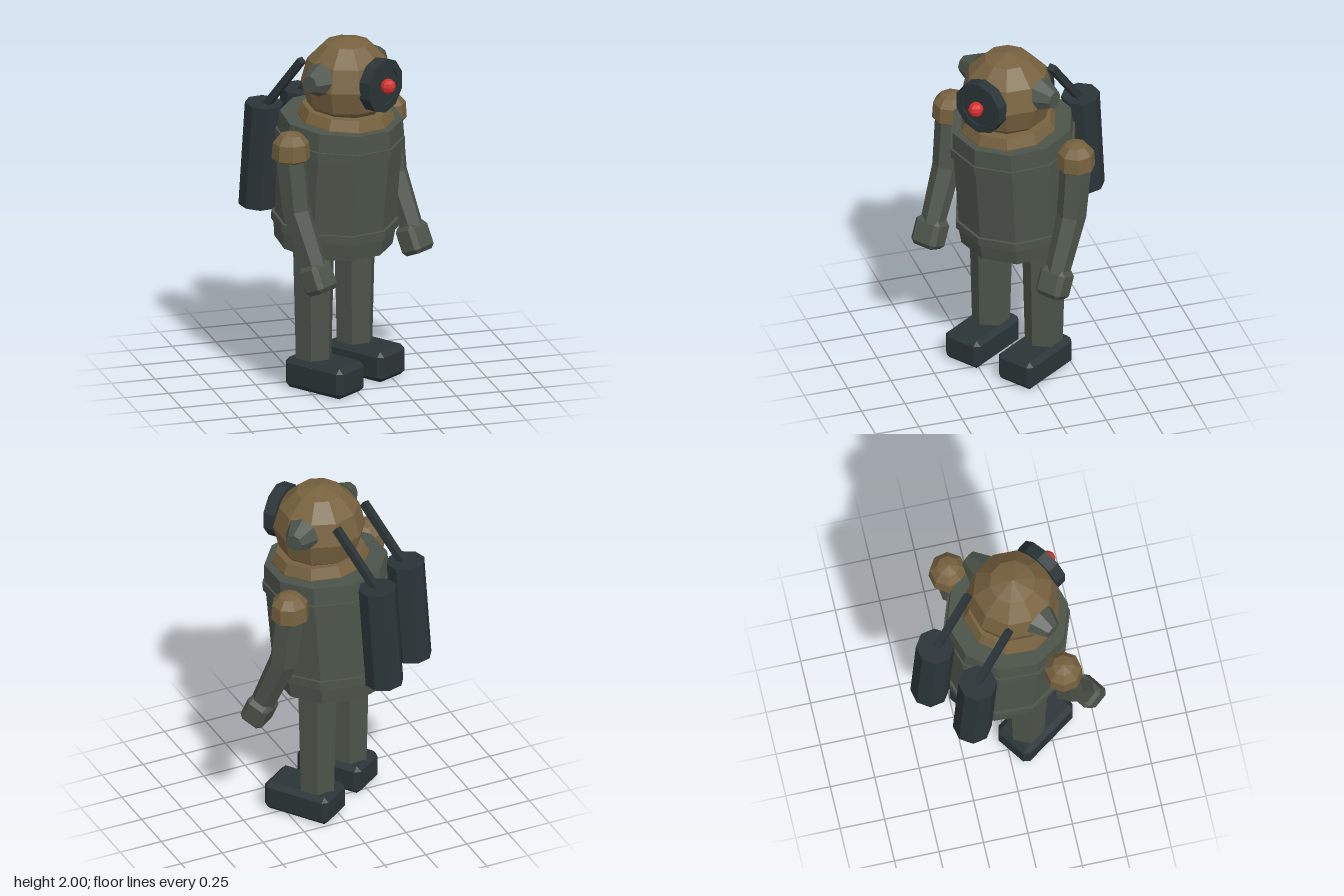
import * as THREE from 'three';
import { ConvexGeometry } from 'three/addons/geometries/ConvexGeometry.js';

const material = (name, color) => {
  const m = new THREE.MeshStandardMaterial({ color, flatShading: true });
  m.name = name;
  return m;
};

// Box with every edge cut by b
function chamferBox(w, h, d, b) {
  const pts = [];
  for (const x of [-1, 1]) for (const y of [-1, 1]) for (const z of [-1, 1]) {
    const [hx, hy, hz] = [w / 2, h / 2, d / 2];
    pts.push(
      new THREE.Vector3(x * hx, y * (hy - b), z * (hz - b)),
      new THREE.Vector3(x * (hx - b), y * hy, z * (hz - b)),
      new THREE.Vector3(x * (hx - b), y * (hy - b), z * hz));
  }
  return new ConvexGeometry(pts);
}

// Turned solid from [radius, height] pairs, bottom to top
const lathe = (pairs, sides) =>
  new THREE.LatheGeometry(pairs.map(([r, y]) => new THREE.Vector2(r, y)), sides);

export function createModel() {
  const bronze = material('bronze', 0x77623f);
  const cloth = material('greyGreen', 0x4c544a);
  const dark = material('darkSteel', 0x2a3437);
  const red = material('redLens', 0xd6302b);

  const root = new THREE.Group();
  root.name = 'diver';
  const body = new THREE.Group();
  body.name = 'turnedBody';
  body.rotation.y = THREE.MathUtils.degToRad(35);
  body.position.set(-0.037, 0, 0.026);
  root.add(body);

  const add = (name, geo, mat, x, y, z, parent = body) => {
    const mesh = new THREE.Mesh(geo, mat);
    mesh.name = name;
    mesh.position.set(x, y, z);
    parent.add(mesh);
    return mesh;
  };

  // Tapered limb between two points given as [y, z] at the same x
  const limb = (name, mat, x, [y0, z0], [y1, z1], rTop, rBottom, sides) => {
    const geo = new THREE.CylinderGeometry(rTop, rBottom, Math.hypot(y1 - y0, z1 - z0), sides);
    const mesh = add(name, geo, mat, x, (y0 + y1) / 2, (z0 + z1) / 2);
    mesh.rotation.x = Math.atan2(z0 - z1, y0 - y1);
    return mesh;
  };

  // Torso and tanks lean slightly forward
  const upper = new THREE.Group();
  upper.name = 'upperBody';
  upper.position.set(0, 0.8, -0.03);
  upper.rotation.x = 0.075;
  body.add(upper);
  add('torso', lathe([
    [0, 0], [0.325, 0], [0.337, 0.1], [0.35, 0.1], [0.35, 0.15], [0.334, 0.15],
    [0.342, 0.58], [0.357, 0.58], [0.357, 0.635], [0.346, 0.635], [0.34, 0.74], [0, 0.74],
  ], 10), cloth, 0, 0, 0, upper);
  add('collar', lathe([[0.27, 0.72], [0.27, 0.745], [0.245, 0.805], [0, 0.805]], 10),
    bronze, 0, 0, 0.032, upper);

  // Helmet
  const helmet = new THREE.SphereGeometry(0.255, 10, 6);
  helmet.rotateY(Math.PI / 2);
  add('helmet', helmet, bronze, 0, 1.745, 0.066);

  // Front porthole: rim, dark glass and red lens
  const rim = new THREE.Shape();
  const hole = new THREE.Path();
  for (let i = 0; i < 10; i++) {
    const a = Math.PI / 2 + i * Math.PI / 5;
    const [c, s] = [Math.cos(a), Math.sin(a)];
    if (i) { rim.lineTo(0.153 * c, 0.153 * s); hole.lineTo(0.11 * c, 0.11 * s); }
    else { rim.moveTo(0.153 * c, 0.153 * s); hole.moveTo(0.11 * c, 0.11 * s); }
  }
  rim.closePath();
  hole.closePath();
  rim.holes.push(hole);
  add('portholeRim', new THREE.ExtrudeGeometry(rim, { depth: 0.07, bevelEnabled: false }),
    dark, 0, 1.767, 0.265);
  const glass = new THREE.CylinderGeometry(0.115, 0.115, 0.05, 10);
  glass.rotateX(Math.PI / 2);
  add('portholeGlass', glass, dark, 0, 1.767, 0.301);
  add('lens', new THREE.SphereGeometry(0.043, 8, 6), red, 0, 1.77, 0.352);

  for (const s of [1, -1]) {
    const side = s > 0 ? 'left' : 'right';

    // Side ports on the helmet
    const port = new THREE.CylinderGeometry(0.05, 0.1, 0.1, 8);
    port.rotateZ(-s * Math.PI / 2);
    add(side + 'HelmetPort', port, cloth, s * 0.264, 1.8, 0.05);

    // Air tanks and their pipes
    add(side + 'Tank', new THREE.CylinderGeometry(0.107, 0.107, 0.6, 8), dark,
      s * 0.158, 0.433, -0.415, upper);
    const pipe = limb(side + 'AirPipe', dark, s * 0.153, [1.86, -0.13], [1.52, -0.4], 0.028, 0.028, 4);
    pipe.geometry.rotateY(Math.PI / 4);

    // Arm with cap, bent elbow and mitten
    const x = s * 0.429;
    add(side + 'ShoulderCap', lathe([
      [0, 1.385], [0.085, 1.385], [0.107, 1.4], [0.101, 1.49], [0.062, 1.535], [0, 1.552],
    ], 8), bronze, x, 0, 0.01);
    limb(side + 'UpperArm', cloth, x, [1.42, 0.01], [1.09, 0.05], 0.088, 0.081, 6);
    limb(side + 'Forearm', cloth, x, [1.11, 0.045], [0.78, 0.185], 0.081, 0.068, 6);
    const hand = add(side + 'Hand', chamferBox(0.165, 0.165, 0.14, 0.025), cloth, x, 0.74, 0.2);
    hand.rotation.x = -0.4;

    // Leg and boot
    add(side + 'Leg', new THREE.CylinderGeometry(0.122, 0.104, 0.7, 6), cloth,
      s * 0.182, 0.48, -0.025);
    add(side + 'Boot', chamferBox(0.237, 0.175, 0.4, 0.028), dark, s * 0.182, 0.0875, 0.053);
  }
  return root;
}
